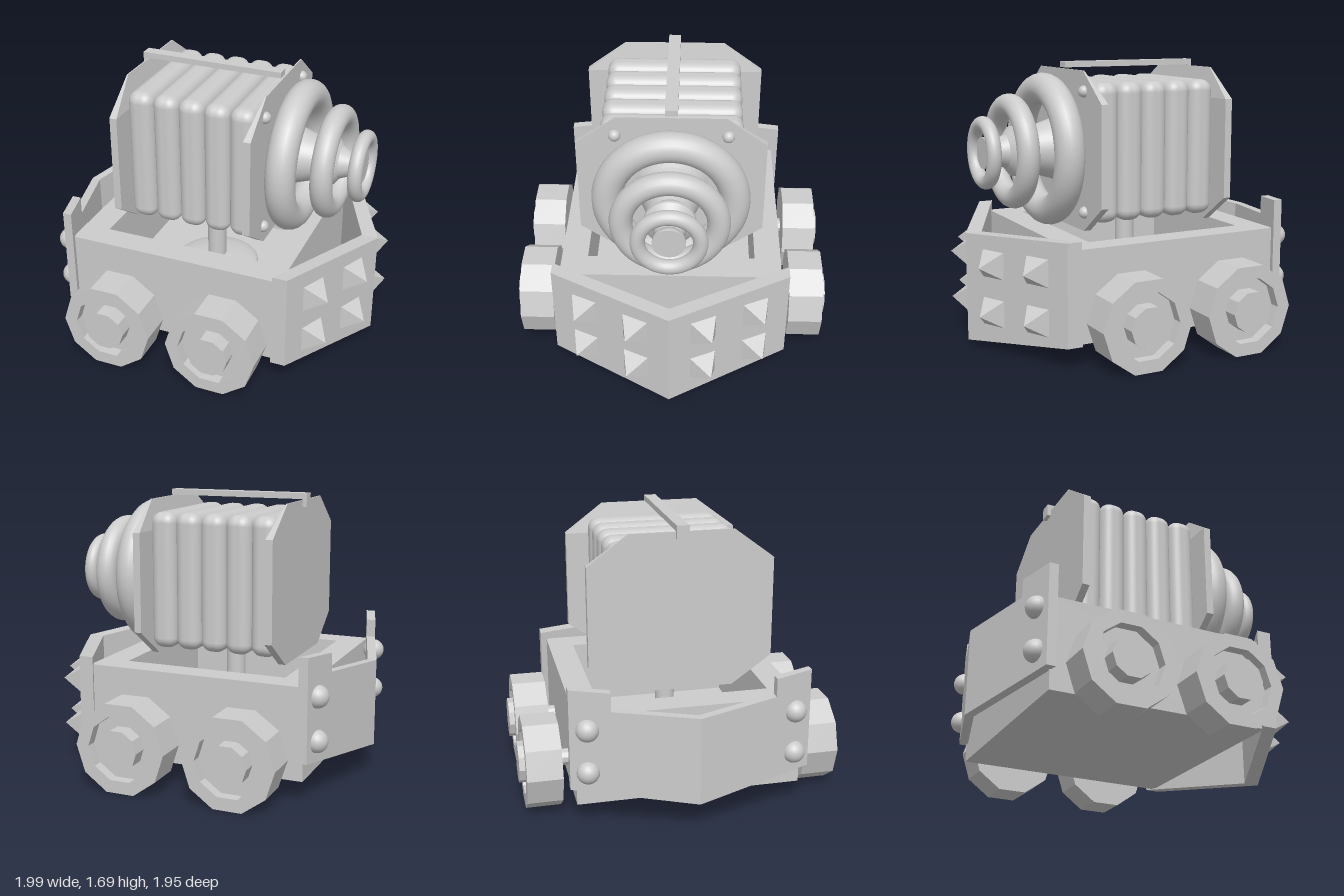
import * as THREE from 'three';
import { RoundedBoxGeometry } from 'three/addons/geometries/RoundedBoxGeometry.js';
import { ConvexGeometry } from 'three/addons/geometries/ConvexGeometry.js';

const smooth = new THREE.MeshStandardMaterial({ color: 0xcccccc });
const flat = new THREE.MeshStandardMaterial({ color: 0xcccccc, flatShading: true });

export function createModel() {
  const model = new THREE.Group();
  model.name = 'armouredCart';

  const add = (name, geo, mat = flat, x = 0, y = 0, z = 0) => {
    const mesh = new THREE.Mesh(geo, mat);
    mesh.name = name;
    mesh.position.set(x, y, z);
    model.add(mesh);
    return mesh;
  };
  const box = (name, x0, x1, y0, y1, z0, z1) =>
    add(name, new THREE.BoxGeometry(x1 - x0, y1 - y0, z1 - z0), flat,
      (x0 + x1) / 2, (y0 + y1) / 2, (z0 + z1) / 2);
  const hull = (name, points) =>
    add(name, new ConvexGeometry(points.map(p => new THREE.Vector3(...p))));
  const lathe = (points, segments, start = 0) =>
    new THREE.LatheGeometry(points.map(p => new THREE.Vector2(...p)), segments, start);
  // slab between two upright sections: [z, outer x, inner x, bottom y, top y]
  const slab = (name, side, ...sections) =>
    hull(name, sections.flatMap(([z, xo, xi, y0, y1]) =>
      [[xo, y0, z * side], [xi, y0, z * side], [xo, y1, z * side], [xi, y1, z * side]]));

  // Body: floor plus walls around an open well
  box('bodyFloor', -0.765, 0.58, 0.13, 0.28, -0.67, 0.67);
  const rect = (path, x0, x1, z) =>
    path.moveTo(x0, -z).lineTo(x1, -z).lineTo(x1, z).lineTo(x0, z).closePath();
  const outline = rect(new THREE.Shape(), -0.765, 0.58, 0.67);
  outline.holes.push(rect(new THREE.Path(), -0.6, 0.41, 0.51));
  const walls = new THREE.ExtrudeGeometry(outline, { depth: 0.4, bevelEnabled: false });
  add('bodyWalls', walls.rotateX(-Math.PI / 2), flat, 0, 0.28, 0);

  // Turntable and post
  const dome = new THREE.SphereGeometry(0.27, 32, 12, 0, Math.PI * 2, 0, Math.PI / 2);
  add('turntable', dome.scale(1, 0.22, 1), smooth, -0.09, 0.28, 0);
  add('post', new THREE.CylinderGeometry(0.06, 0.06, 0.5, 24), smooth, -0.09, 0.54, 0);

  // Wheels with recessed faces and projecting hubs
  const profile = [[0, -0.105], [0.28, -0.105], [0.28, 0.105], [0.2, 0.105],
    [0.2, 0.04], [0.125, 0.04], [0.125, 0.135], [0, 0.135]];
  for (const x of [-0.42, 0.25]) {
    for (const side of [-1, 1]) {
      const wheel = lathe(profile, 10, Math.PI / 10).rotateX(side * Math.PI / 2);
      add('wheel', wheel, flat, x, 0.27, side * 0.84);
      const axle = new THREE.CylinderGeometry(0.05, 0.05, 0.12, 10).rotateX(Math.PI / 2);
      add('axle', axle, flat, x, 0.275, side * 0.7);
    }
  }

  const dot = (name, r, x, y, z) => add(name, new THREE.SphereGeometry(r, 20, 14), smooth, x, y, z);

  for (const side of [-1, 1]) {
    // Spiked ram: half of the V at the +x end
    slab('ramPlate', side, [0, 0.975, 0.875, 0.03, 0.69], [0.71, 0.635, 0.545, 0.13, 0.735]);
    for (const z of [0.2, 0.51]) {
      for (const y of [0.24, 0.53]) {
        const spike = new THREE.ConeGeometry(0.125, 0.13, 4);
        spike.rotateY(Math.PI / 4).rotateZ(-Math.PI / 2).translate(0.055, 0, 0);
        const mesh = add('spike', spike, flat, 0.975 - 0.479 * z, y + (z - 0.2) * 0.04, side * z);
        mesh.rotation.y = -side * Math.atan2(0.34, 0.71);
      }
    }
    // Rear guard: half of the shallow V, with a raised tab at its end
    slab('rearPlate', side, [0, -1, -0.945, 0.175, 0.705], [0.48, -0.865, -0.81, 0.225, 0.735]);
    slab('rearTab', side, [0.48, -0.865, -0.81, 0.225, 0.845], [0.71, -0.8, -0.745, 0.25, 0.86]);
    for (const y of [0.36, 0.62]) dot('guardRivet', 0.067, -0.825, y, side * 0.61);
  }

  // Row of rounded slabs forming the core
  for (let i = 0; i < 5; i++) {
    const fin = new RoundedBoxGeometry(0.16, 0.83, 0.83, 5, 0.065);
    add('coreSlab', fin, smooth, -0.415 + i * 0.161, 1.165, 0);
  }

  // Eight-sided end plates, thinned towards the top on the inner face
  const corners = [[0.31, 1.65], [0.55, 1.47], [0.55, 0.87], [0.31, 0.7]];
  for (const [outer, inner] of [[-0.53, -0.485], [0.345, 0.3]]) {
    hull('endPlate', corners.flatMap(([z, y]) => [-1, 1].flatMap(s => [
      [outer, y, s * z],
      [y > 1.6 ? outer + Math.sign(inner - outer) * 0.008 : inner, y, s * z],
    ])));
  }
  for (const y of [0.815, 1.53]) {
    for (const z of [-0.325, 0.325]) dot('plateRivet', 0.036, 0.345, y, z);
  }

  // Top bar with a hooked end
  box('topBar', -0.555, 0.335, 1.655, 1.69, -0.037, 0.037);
  box('topBarHook', -0.555, -0.528, 1.61, 1.655, -0.037, 0.037);

  // Nozzle: stepped stem with three shrinking rings
  const stem = [[0, 0.34], [0.22, 0.34], [0.19, 0.4], [0.145, 0.54], [0.125, 0.62], [0.15, 0.66],
    [0.15, 0.68], [0.1, 0.72], [0.07, 0.79], [0.095, 0.84], [0.095, 0.86], [0, 0.86]];
  for (let i = 0; i < stem.length - 1; i++) {
    const piece = lathe([stem[i], stem[i + 1]], 40).rotateZ(-Math.PI / 2);
    add('nozzleStem', piece, smooth, 0, 1.163, 0);
  }
  for (const [x, outer, tube] of [[0.46, 0.462, 0.09], [0.678, 0.345, 0.067], [0.848, 0.218, 0.043]]) {
    const ring = new THREE.TorusGeometry(outer - tube, tube, 20, 56).rotateY(Math.PI / 2);
    add('nozzleRing', ring, smooth, x, 1.163, 0);
  }
  return model;
}
